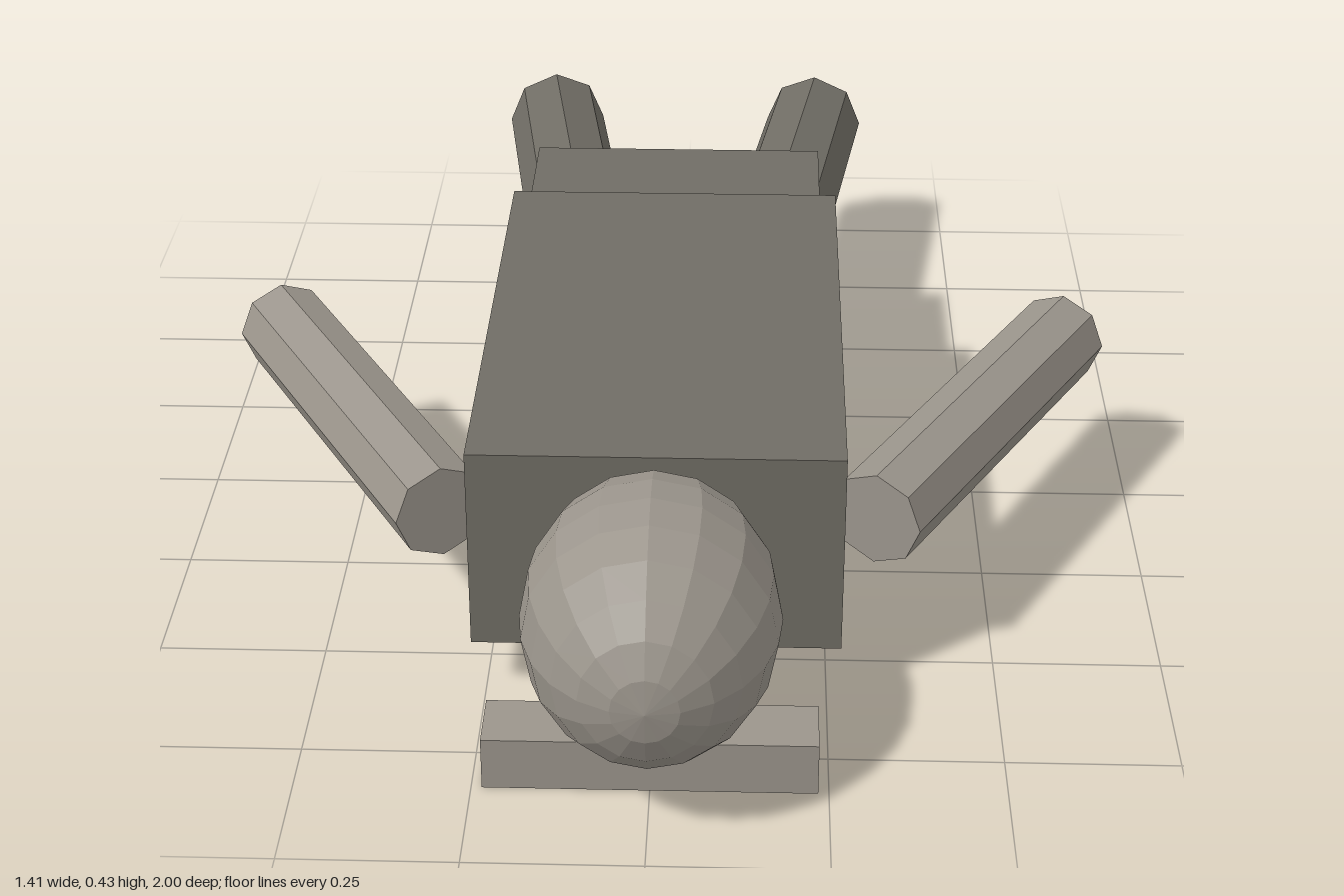
import * as THREE from 'three';

export function createModel() {
  const model = new THREE.Group();
  const light = new THREE.MeshStandardMaterial({ color: 0x9b958c, flatShading: true });
  light.name = 'light warm grey';
  const dark = new THREE.MeshStandardMaterial({ color: 0x706d65, flatShading: true });
  dark.name = 'dark warm grey';

  function add(name, geometry, material, x, y, z) {
    const mesh = new THREE.Mesh(geometry, material);
    mesh.name = name;
    mesh.position.set(x, y, z);
    model.add(mesh);
    return mesh;
  }

  // Eight-sided limb lying level between two [x, z] points
  function limb(name, material, radius, y, [x0, z0], [x1, z1]) {
    const length = Math.hypot(x1 - x0, z1 - z0);
    const geometry = new THREE.CylinderGeometry(radius, radius, length, 8);
    geometry.rotateX(Math.PI / 2);
    const mesh = add(name, geometry, material, (x0 + x1) / 2, y, (z0 + z1) / 2);
    mesh.rotation.y = Math.atan2(x1 - x0, z1 - z0);
  }

  // Torso and hips
  add('torso', new THREE.BoxGeometry(0.54, 0.315, 0.89), dark, 0, 0.24, 0.147);
  add('hips', new THREE.BoxGeometry(0.49, 0.27, 0.25), dark, 0, 0.24, -0.407);

  // Faceted head with its poles front and back
  const head = new THREE.SphereGeometry(1, 16, 12);
  head.rotateX(Math.PI / 2);
  head.scale(0.182, 0.191, 0.235);
  add('head', head, light, 0, 0.243, 0.762);

  // Bar under the head
  add('headRest', new THREE.BoxGeometry(0.47, 0.08, 0.097), light, 0, 0.04, 0.783);

  // Arms and legs, mirrored
  for (const [side, s] of [['left', 1], ['right', -1]]) {
    limb(side + 'Arm', light, 0.073, 0.24, [s * 0.317, 0.487], [s * 0.64, -0.102]);
    limb(side + 'Leg', dark, 0.088, 0.24, [s * 0.178, -0.5], [s * 0.246, -0.986]);
  }
  return model;
}
